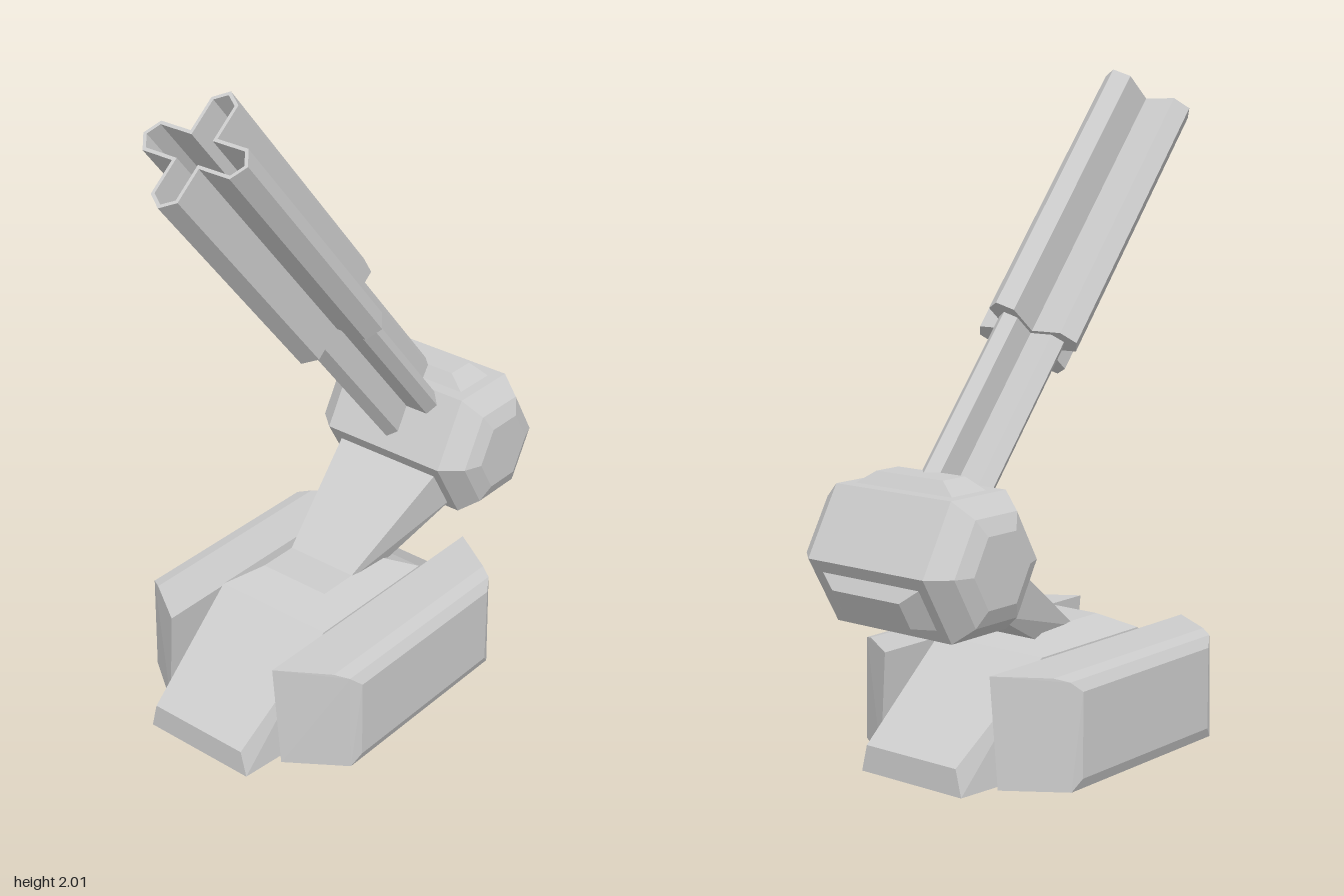
import * as THREE from 'three';
import { ConvexGeometry } from 'three/addons/geometries/ConvexGeometry.js';

const grey = new THREE.MeshStandardMaterial({ color: 0xcccccc, flatShading: true });

function add(parent, name, geometry) {
  const mesh = new THREE.Mesh(geometry, grey);
  mesh.name = name;
  parent.add(mesh);
  return mesh;
}

// Convex solid through points, each mirrored to -x when mirror is set
function hull(points, mirror = true) {
  const all = [];
  for (const [x, y, z] of points) {
    all.push(new THREE.Vector3(x, y, z));
    if (mirror) all.push(new THREE.Vector3(-x, y, z));
  }
  return new ConvexGeometry(all);
}

// Corner points of a cross with pointed arms: half width, shoulder and tip distance
function crossPoints(half, shoulder, tip) {
  const arm = [[half, -half], [shoulder, -half], [tip, 0], [shoulder, half]];
  const points = [];
  for (let i = 0; i < 4; i++) {
    const c = [1, 0, -1, 0][i], s = [0, 1, 0, -1][i];
    for (const [x, y] of arm) points.push(new THREE.Vector2(c * x - s * y, s * x + c * y));
  }
  return points;
}

function extrudeCross(outer, from, to, hole) {
  const shape = new THREE.Shape(outer);
  if (hole) shape.holes.push(new THREE.Path(hole));
  return new THREE.ExtrudeGeometry(shape, { depth: to - from, bevelEnabled: false }).translate(0, 0, from);
}

export function createModel() {
  const model = new THREE.Group();
  model.name = 'turret';
  const mid = 0.06; // the base is symmetric about this z

  // Sloped central rib of the base
  const rib = [];
  for (const s of [1, -1]) {
    rib.push(
      [0.19, 0, mid + s * 0.57], [0.17, 0.08, mid + s * 0.57],
      [0.225, 0, mid + s * 0.23], [0.2, 0.33, mid + s * 0.23],
      [0.12, 0.38, mid + s * 0.13]
    );
  }
  add(model, 'baseRib', hull(rib));

  // Side pods with angled ends and a bevelled outer face
  for (const side of [1, -1]) {
    const pod = [];
    for (const s of [1, -1]) {
      for (const [x, y, z] of [
        [0.2, 0.325, 0.46], [0.225, 0, 0.455], [0.35, 0.325, 0.363], [0.39, 0.315, 0.338],
        [0.41, 0.285, 0.305], [0.41, 0.035, 0.305], [0.395, 0, 0.338]
      ]) pod.push([side * x, y, mid + s * z]);
    }
    add(model, side > 0 ? 'leftPod' : 'rightPod', hull(pod, false));
  }

  // Leaning neck that widens towards the joint
  add(model, 'neck', hull([
    [0.115, 0.36, 0.09], [0.115, 0.34, -0.07],
    [0.19, 0.63, -0.29], [0.19, 0.49, -0.37]
  ]));

  // Six-sided joint drum with stepped bevels at both ends
  const joint = new THREE.Group();
  joint.name = 'joint';
  joint.position.set(0, 0.65, -0.46);
  model.add(joint);
  const profile = [[0, -0.3], [0.117, -0.3], [0.172, -0.278], [0.227, -0.215],
    [0.227, 0.215], [0.172, 0.278], [0.117, 0.3], [0, 0.3]].map(([r, y]) => new THREE.Vector2(r, y));
  add(joint, 'jointDrum', new THREE.LatheGeometry(profile, 6).rotateZ(-Math.PI / 2));

  // Raised plates on the top and lower rear faces of the drum
  const plate = hull([
    [0.19, 0.19, 0.075], [0.19, 0.19, -0.075],
    [0.125, 0.233, 0.045], [0.125, 0.233, -0.045]
  ]);
  add(joint, 'topPlate', plate);
  add(joint, 'rearPlate', plate).rotation.x = -Math.PI * 2 / 3;

  // Raised gun: inner rod, closed breech and hollow barrel, along local z
  const gun = new THREE.Group();
  gun.name = 'gun';
  gun.rotation.x = -0.884;
  joint.add(gun);
  const outer = crossPoints(0.047, 0.152, 0.183);
  add(gun, 'rod', extrudeCross(crossPoints(0.034, 0.112, 0.137), 0.05, 0.75));
  add(gun, 'breech', extrudeCross(outer, 0.737, 0.76));
  add(gun, 'barrel', extrudeCross(outer, 0.76, 1.604, crossPoints(0.037, 0.147, 0.171)));

  return model;
}
